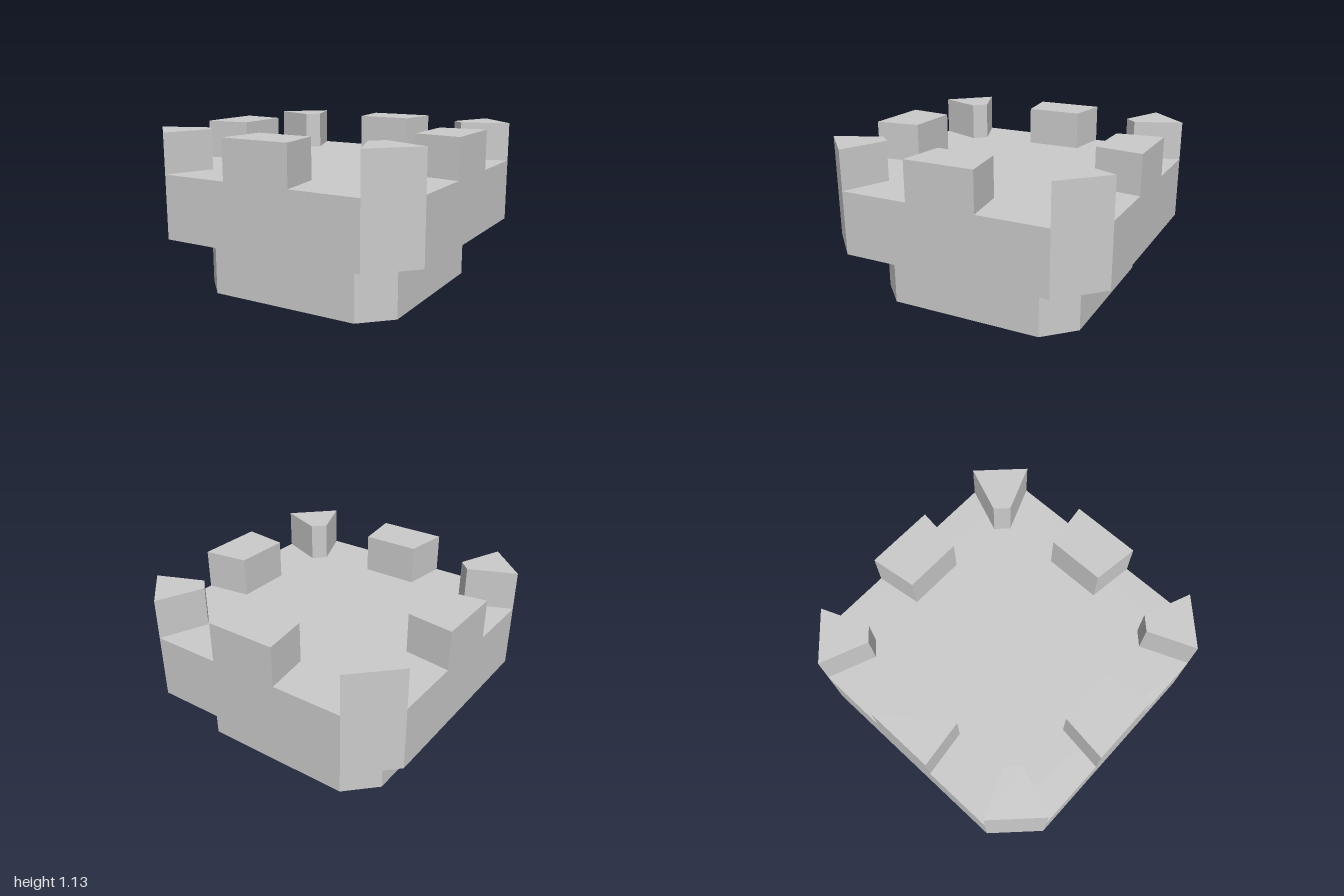
import * as THREE from 'three';

const material = new THREE.MeshStandardMaterial({ color: 0xcccccc, flatShading: true });

// Outline of a square (half width h) with its corners cut off beyond c
const cutSquare = (h, c) => [
  [c, -h], [h, -c], [h, c], [c, h], [-c, h], [-h, c], [-h, -c], [-c, -h],
];

// Upright prism over an x/z outline, from y0 to y1, its top scaled by flare
function prism(name, outline, y0, y1, flare = 1) {
  const shape = new THREE.Shape(outline.map(([x, z]) => new THREE.Vector2(x, -z)));
  const geometry = new THREE.ExtrudeGeometry(shape, { depth: y1 - y0, bevelEnabled: false });
  geometry.rotateX(-Math.PI / 2).translate(0, y0, 0);
  const p = geometry.attributes.position;
  const middle = (y0 + y1) / 2;
  for (let i = 0; i < p.count; i++) {
    if (p.getY(i) > middle) p.setXYZ(i, p.getX(i) * flare, p.getY(i), p.getZ(i) * flare);
  }
  geometry.computeVertexNormals();
  const mesh = new THREE.Mesh(geometry, material);
  mesh.name = name;
  return mesh;
}

export function createModel() {
  const model = new THREE.Group();
  model.name = 'towerTop';

  // Shaft, flared collar and overhanging platform
  model.add(prism('shaft', cutSquare(0.745, 0.545), 0, 0.375));
  model.add(prism('collar', cutSquare(0.745, 0.545), 0.375, 0.42, 0.785 / 0.745));
  model.add(prism('platform', cutSquare(1, 0.727), 0.42, 0.857));

  // Battlements: one on each side and one on each cut corner
  const side = [[-0.242, 1], [0.242, 1], [0.2, 0.68], [-0.2, 0.68]];
  const corner = [[0.727, 1], [1, 0.727], [0.68, 0.597], [0.597, 0.68]];
  for (let i = 0; i < 4; i++) {
    const quarter = new THREE.Group();
    quarter.name = 'battlements' + (i + 1);
    quarter.add(prism('sideMerlon', side, 0.857, 1.13));
    quarter.add(prism('cornerMerlon', corner, 0.857, 1.13));
    quarter.rotation.y = (i * Math.PI) / 2;
    model.add(quarter);
  }
  return model;
}
